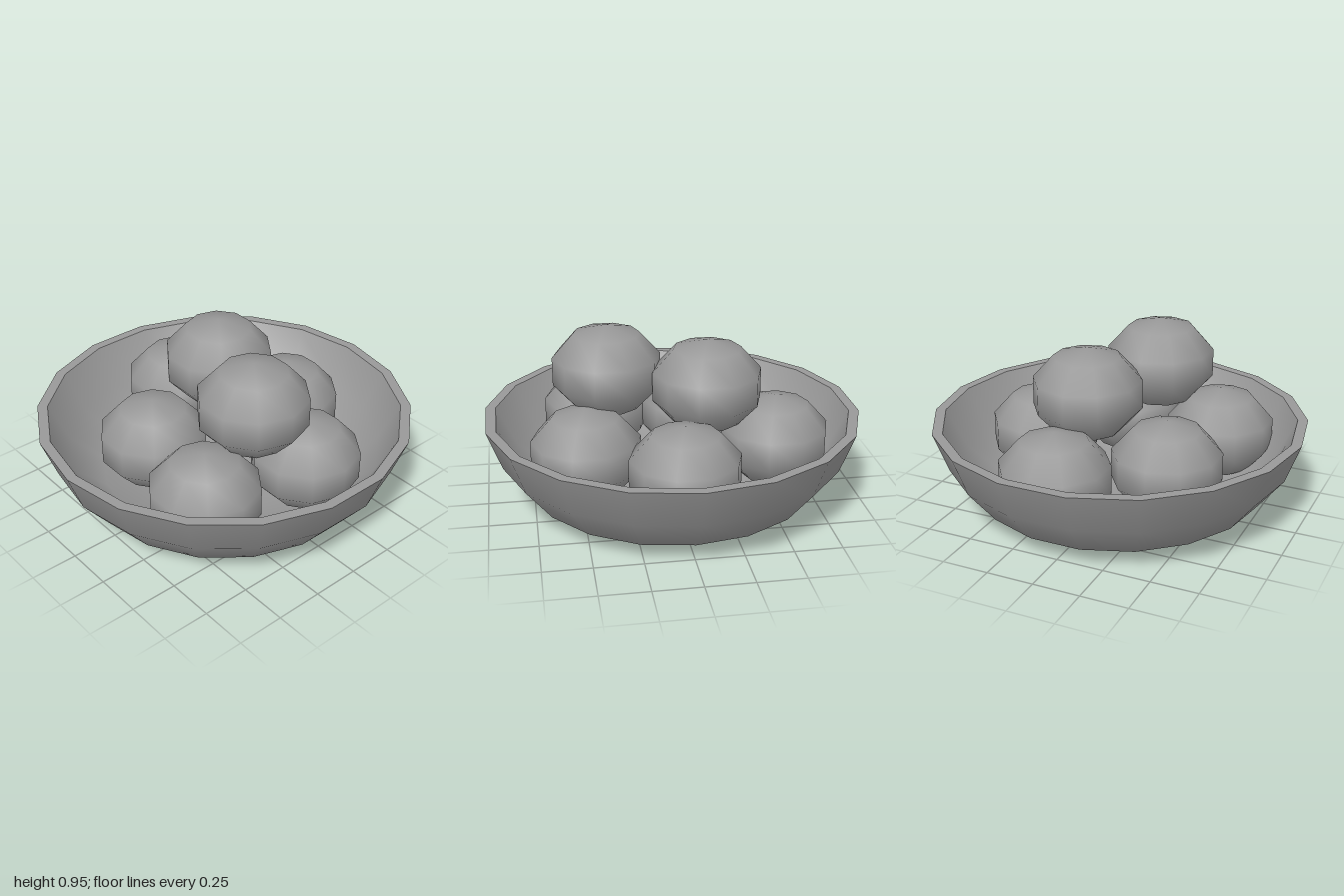
import * as THREE from 'three';
import { mergeVertices } from 'three/addons/utils/BufferGeometryUtils.js';

const material = new THREE.MeshStandardMaterial({ color: 0x989898 });

// Smooth 18-sided surface of revolution from [radius, height] pairs
function ring(name, profile) {
  const points = profile.map(([r, y]) => new THREE.Vector2(r, y));
  const turned = new THREE.LatheGeometry(points, 18, Math.PI / 2);
  turned.deleteAttribute('uv');
  turned.deleteAttribute('normal');
  const geometry = mergeVertices(turned, 1e-4);
  geometry.computeVertexNormals();
  const mesh = new THREE.Mesh(geometry, material);
  mesh.name = name;
  return mesh;
}

export function createModel() {
  const model = new THREE.Group();
  model.name = 'fruitBowl';

  // Bowl: outer wall, flat rim and inner wall, kept apart so the rim edges stay sharp
  const bowl = new THREE.Group();
  bowl.name = 'bowl';
  bowl.add(
    ring('outerWall', [[0, 0], [0.4, 0], [0.778, 0.097], [0.922, 0.278], [1, 0.49]]),
    ring('rim', [[1, 0.49], [0.946, 0.49]]),
    ring('innerWall', [[0.946, 0.49], [0.84, 0.28], [0.67, 0.14], [0.36, 0.06], [0, 0.05]]),
  );
  model.add(bowl);

  // Fruit: slightly flattened ten-sided balls, five in the bowl and two on top
  const ballGeometry = new THREE.SphereGeometry(0.303, 10, 5, Math.PI / 2);
  ballGeometry.scale(1, 0.81, 1);
  const centres = [
    [-0.345, 0.34, -0.175],
    [0.113, 0.34, -0.54],
    [0.453, 0.34, 0],
    [-0.44, 0.34, 0.37],
    [0.15, 0.34, 0.475],
    [-0.095, 0.705, 0.335],
    [0.105, 0.665, -0.17],
  ];
  const fruit = new THREE.Group();
  fruit.name = 'fruit';
  centres.forEach(([x, y, z], i) => {
    const ball = new THREE.Mesh(ballGeometry, material);
    ball.name = `fruit${i + 1}`;
    ball.position.set(x, y, z);
    fruit.add(ball);
  });
  model.add(fruit);

  return model;
}
